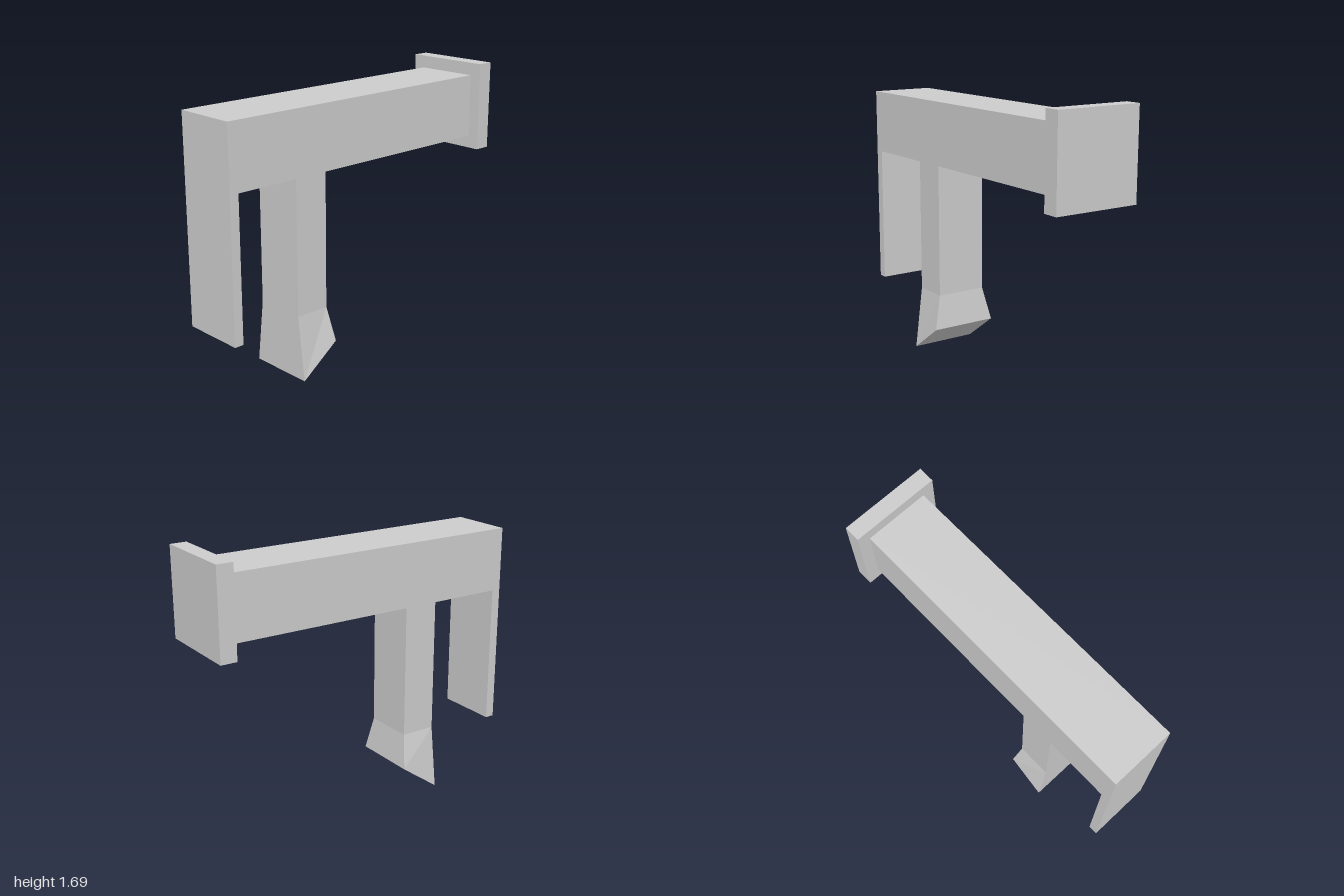
import * as THREE from 'three';

const material = new THREE.MeshStandardMaterial({ color: 0xcccccc, flatShading: true });

// Box given by its lower and upper corner
function box(name, [x0, y0, z0], [x1, y1, z1]) {
  const geometry = new THREE.BoxGeometry(x1 - x0, y1 - y0, z1 - z0);
  geometry.translate((x0 + x1) / 2, (y0 + y1) / 2, (z0 + z1) / 2);
  const mesh = new THREE.Mesh(geometry, material);
  mesh.name = name;
  return mesh;
}

export function createModel() {
  const model = new THREE.Group();
  model.name = 'model';

  // Long beam, its end plate and the thin panel hanging from the other end
  model.add(box('beam', [-1, 1.225, -0.197], [0.9, 1.613, 0.197]));
  model.add(box('endPlate', [0.9, 1.15, -0.27], [1, 1.69, 0.27]));
  model.add(box('hangingPanel', [-1, 0.367, -0.197], [-0.943, 1.225, 0.197]));

  // Straight leg under the beam
  model.add(box('leg', [-0.517, 0.39, -0.16], [-0.298, 1.225, 0.16]));

  // Flared foot: the lower corners spread out and end in a slanted cut
  const foot = box('flaredFoot', [-0.517, 0, -0.16], [-0.298, 0.39, 0.16]);
  const p = foot.geometry.attributes.position;
  for (let i = 0; i < p.count; i++) {
    if (p.getY(i) > 0.2) continue;
    const outer = p.getX(i) > -0.4;
    p.setXYZ(i, outer ? -0.268 : -0.517, outer ? 0.18 : 0, Math.sign(p.getZ(i)) * 0.209);
  }
  foot.geometry.computeVertexNormals();
  model.add(foot);

  return model;
}
